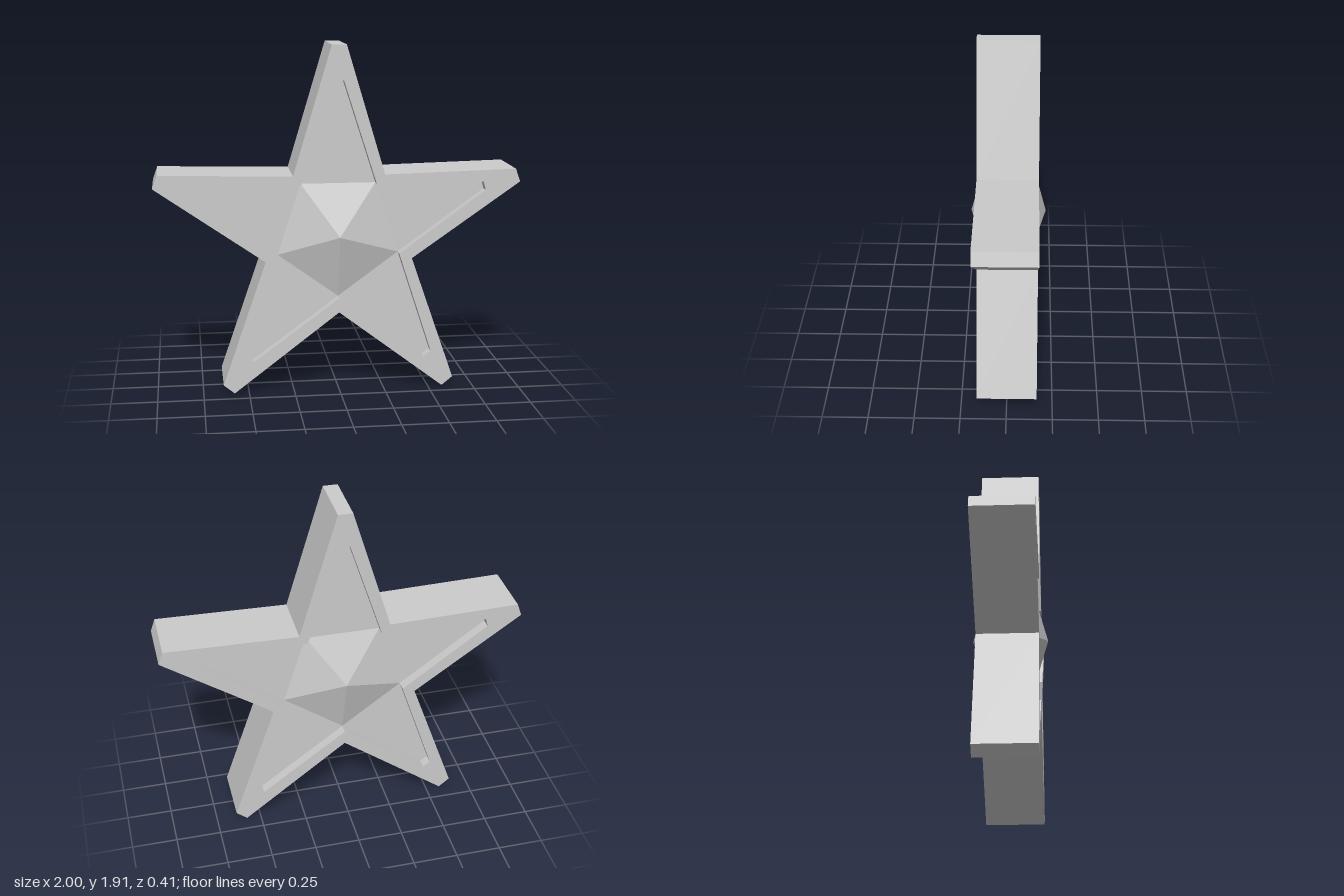
import * as THREE from 'three';

const HALF = 0.165;    // half thickness of the star
const FLOOR = 0.108;   // z of the recessed panel
const APEX = [0, 0.872, 0.207];

// Clockwise outline from its right half plus the bottom notch on the axis
function outline(half, bottomY) {
  const mirrored = half.map(([x, y]) => [-x, y]).reverse();
  return [...half, [0, bottomY], ...mirrored];
}

const outer = outline([[0.04, 1.907], [0.25, 1.207], [0.975, 1.224], [1, 1.153],
  [0.402, 0.738], [0.64, 0.049], [0.58, 0]], 0.443);
const inner = outline([[0.025, 1.717], [0.205, 1.156], [0.796, 1.156], [0.808, 1.11],
  [0.332, 0.765], [0.515, 0.203], [0.475, 0.174]], 0.523);

const at = (loop, z) => loop.map(([x, y]) => [x, y, z]);

// Quads joining two loops of equal length
function strip(a, b) {
  return a.map((p, i) => {
    const j = (i + 1) % a.length;
    return [p, b[i], b[j], a[j]];
  });
}

// Flat-shaded mesh from convex polygons with counter-clockwise corners
function polyMesh(name, polygons) {
  const positions = [];
  for (const p of polygons) {
    for (let i = 1; i < p.length - 1; i++) positions.push(...p[0], ...p[i], ...p[i + 1]);
  }
  const geometry = new THREE.BufferGeometry();
  geometry.setAttribute('position', new THREE.Float32BufferAttribute(positions, 3));
  geometry.computeVertexNormals();
  const material = new THREE.MeshStandardMaterial({ color: 0xcccccc, flatShading: true });
  const mesh = new THREE.Mesh(geometry, material);
  mesh.name = name;
  return mesh;
}

// One decorated side: rim, sunken arm panels and raised five-sided centre
function createFace(name) {
  const floor = at(inner, FLOOR);
  const arms = [], facets = [];
  for (let k = 0; k < 5; k++) {
    const [a, b, c, d] = [1, 2, 3, 4].map((n) => floor[(n + 3 * k) % 15]);
    arms.push([d, c, b, a]);
    facets.push([APEX, d, a]);
  }
  const face = new THREE.Group();
  face.name = name;
  face.add(
    polyMesh('rim', strip(at(outer, HALF), at(inner, HALF))),
    polyMesh('recessWalls', strip(at(inner, HALF), floor)),
    polyMesh('armPanels', arms),
    polyMesh('centrePyramid', facets),
  );
  return face;
}

export function createModel() {
  const model = new THREE.Group();
  model.name = 'star';
  model.add(polyMesh('outerWalls', strip(at(outer, -HALF), at(outer, HALF))));

  const back = createFace('backFace');
  back.rotation.y = Math.PI;
  model.add(createFace('frontFace'), back);
  return model;
}
